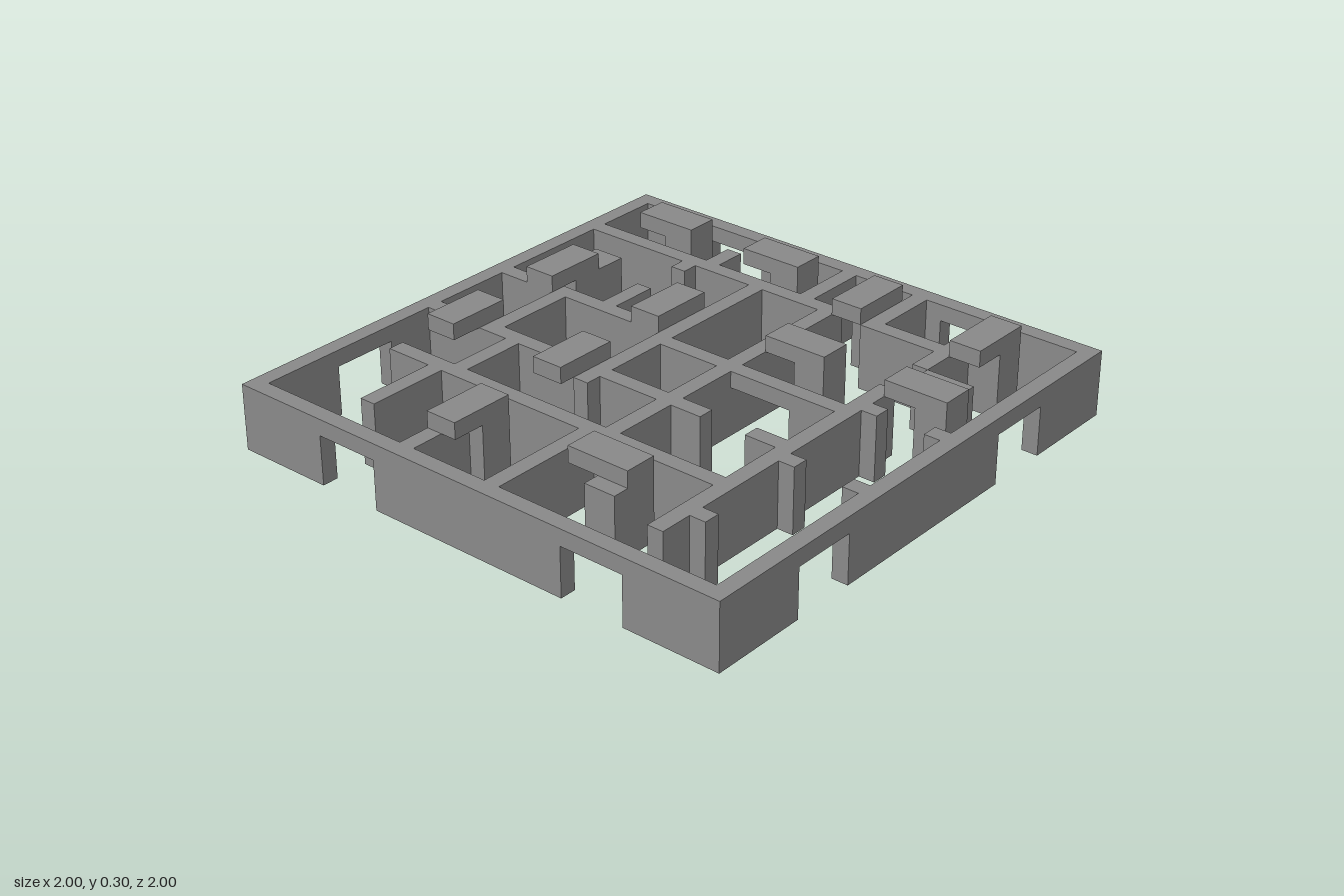
import * as THREE from 'three';

// The plan is laid out on a 33 x 33 grid of square cells.
const N = 33;
const U = 2 / N;
const WALL = 4; // wall height in cells
const DOOR = 3; // doorway height in cells

export function createModel() {
  const group = new THREE.Group();
  const grey = new THREE.MeshStandardMaterial({ color: 0x8a8a8a });
  grey.name = 'concrete grey';

  // Box spanning grid cells i0..i1 (x), j0..j1 (z) and k0..k1 (y).
  function block(name, i0, i1, j0, j1, k0 = 0, k1 = WALL) {
    const geo = new THREE.BoxGeometry((i1 - i0) * U, (k1 - k0) * U, (j1 - j0) * U);
    const mesh = new THREE.Mesh(geo, grey);
    mesh.position.set(((i0 + i1) / 2) * U - 1, ((k0 + k1) / 2) * U, ((j0 + j1) / 2) * U - 1);
    mesh.name = name;
    group.add(mesh);
  }

  // Straight wall along x or z, pierced by doorways with lintels above.
  function wallWithDoors(name, along, start, end, line, doors) {
    const put = (part, a, b, k0, k1) => along === 'x'
      ? block(part, a, b, line, line + 1, k0, k1)
      : block(part, line, line + 1, a, b, k0, k1);
    let at = start;
    for (const [a, b] of doors) {
      if (a > at) put(name, at, a, 0, WALL);
      put(name + 'Lintel', a, b, DOOR, WALL);
      at = b;
    }
    if (end > at) put(name, at, end, 0, WALL);
  }

  // Outer walls
  const near = [6, 10], far = [23, 27];
  wallWithDoors('backWall', 'x', 0, N, 0, [near, far]);
  wallWithDoors('frontWall', 'x', 0, N, N - 1, [near, far]);
  wallWithDoors('rightWall', 'z', 1, N - 1, 0, [far]);
  wallWithDoors('leftWall', 'z', 1, N - 1, N - 1, [near, far]);

  // Inner walls running along x: [start, end, row, doorways]
  const crossWalls = [
    [1, 19, 5], [21, 26, 5], [27, 30, 8],
    [1, 13, 13], [27, 28, 13], [31, 32, 13],
    [14, 18, 14], [19, 26, 14, [[19, 23]]],
    [1, 13, 19], [14, 18, 19], [19, 21, 19], [24, 26, 19],
    [27, 28, 20], [31, 32, 20], [3, 26, 24], [27, 28, 27],
  ];
  for (const [a, b, row, doors = []] of crossWalls) {
    wallWithDoors('crossWall', 'x', a, b, row, doors);
  }

  // Inner walls running along z: [start, end, column]
  const longWalls = [
    [1, 5, 16], [1, 5, 21], [3, 5, 9], [6, 7, 8], [10, 13, 8],
    [3, 8, 26], [11, 30, 26], [6, 21, 13], [6, 24, 18],
    [14, 19, 5], [20, 24, 7], [25, 30, 6], [25, 32, 11], [25, 32, 17],
  ];
  for (const [a, b, col] of longWalls) {
    wallWithDoors('longWall', 'z', a, b, col, []);
  }

  // Raised slabs, each resting on a square pillar at one end
  const acrossSlabs = [[3, 2], [11, 2], [19, 10], [27, 10], [19, 26]];
  for (const [i, j] of acrossSlabs) {
    block('slab', i, i + 4, j, j + 2, WALL, WALL + 1);
    block('slabPillar', i + 2, i + 4, j, j + 2);
  }
  const deepSlabs = [[19, 2], [27, 2], [3, 10], [11, 10], [3, 18], [11, 18], [11, 26]];
  for (const [i, j] of deepSlabs) {
    block('slab', i, i + 2, j, j + 4, WALL, WALL + 1);
    block('slabPillar', i, i + 2, j, j + 2);
  }

  // Blocks standing next to two of the pillars
  block('sideBlock', 3, 5, 8, 10);
  block('sideBlock', 21, 23, 28, 29);

  return group;
}
